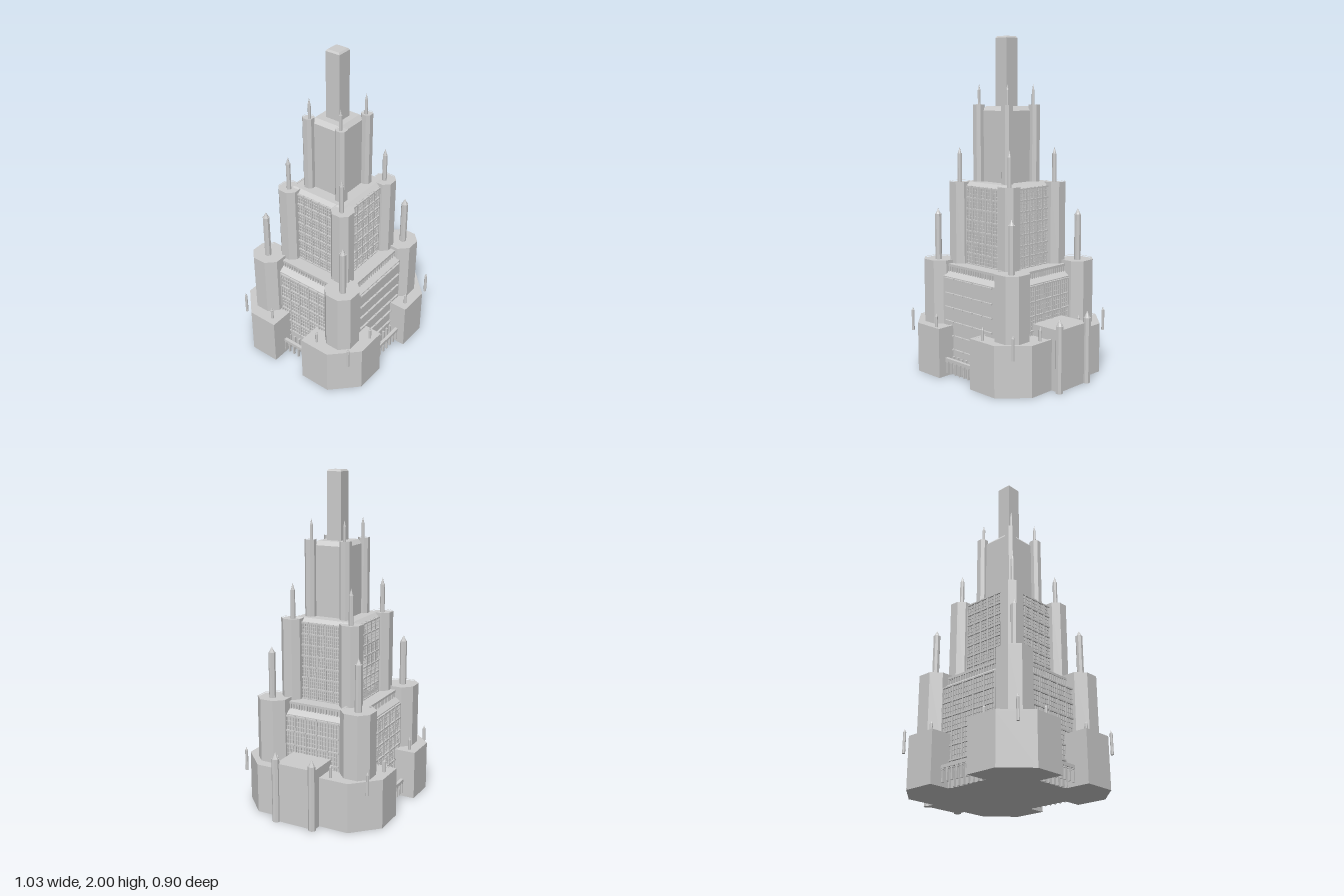
import * as THREE from 'three';

const mat = new THREE.MeshStandardMaterial({ color: 0xcccccc, flatShading: true });
const CX = -0.038, CZ = 0.01; // tower axis

function add(parent, name, geo, x = 0, y = 0, z = 0) {
  const m = new THREE.Mesh(geo, mat);
  m.name = name;
  m.position.set(x, y, z);
  parent.add(m);
  return m;
}
const box = (p, name, w, h, d, x, y, z) => add(p, name, new THREE.BoxGeometry(w, h, d), x, y, z);

// Plan rectangle with a chamfer per corner, in order: back-left, back-right, front-right, front-left
function plan(x0, x1, z0, z1, c, inset = 0) {
  const k = inset * (2 - Math.SQRT2);
  x0 += inset; x1 -= inset; z0 += inset; z1 -= inset;
  const [a, b, e, f] = c.map(v => (v ? Math.max(v - k, 0.002) : 0));
  const raw = [[x0, z0 + a], [x0 + a, z0], [x1 - b, z0], [x1, z0 + b],
    [x1, z1 - e], [x1 - e, z1], [x0 + f, z1], [x0, z1 - f]];
  const pts = raw.filter((p, i) => {
    const q = raw[(i + 1) % 8];
    return Math.hypot(p[0] - q[0], p[1] - q[1]) > 1e-5;
  });
  return pts.map(([x, z]) => new THREE.Vector2(x, -z));
}

function prism(pts, y0, y1, hole) {
  const shape = new THREE.Shape(pts);
  if (hole) shape.holes.push(new THREE.Path(hole));
  const g = new THREE.ExtrudeGeometry(shape, { depth: y1 - y0, bevelEnabled: false });
  g.rotateX(-Math.PI / 2);
  g.translate(0, y0, 0);
  return g;
}

// Solid block with a raised parapet around its top
function parapetBlock(parent, name, x0, x1, z0, z1, c, y0, y1, t) {
  const g = new THREE.Group();
  g.name = name;
  const outer = plan(x0, x1, z0, z1, c);
  add(g, name + 'Body', prism(outer, y0, y1 - 0.008));
  add(g, name + 'Parapet', prism(outer, y1 - 0.008, y1, plan(x0, x1, z0, z1, c, t)));
  parent.add(g);
}

// Octagonal shaft with a pointed tip
function spire(parent, name, x, z, r, y0, yShaft, yTip) {
  const g = new THREE.Group();
  g.name = name;
  const shaft = new THREE.CylinderGeometry(r, r, yShaft - y0, 8).rotateY(Math.PI / 8);
  const tip = new THREE.CylinderGeometry(0, r * 0.8, yTip - yShaft, 8).rotateY(Math.PI / 8);
  add(g, name + 'Shaft', shaft, x, (y0 + yShaft) / 2, z);
  add(g, name + 'Tip', tip, x, (yShaft + yTip) / 2, z);
  parent.add(g);
}

// Square block whose top edge slopes inward
function slopedRoof(parent, name, half, inset, y0, y1) {
  const s = Math.SQRT2;
  const geo = new THREE.CylinderGeometry((half - inset) * s, half * s, y1 - y0, 4).rotateY(Math.PI / 4);
  add(parent, name, geo, CX, (y0 + y1) / 2, CZ);
}

// Runs fn once per side with a group whose +z points out of that wall
function eachSide(parent, name, fn) {
  ['Front', 'Left', 'Back', 'Right'].forEach((side, i) => {
    const g = new THREE.Group();
    g.name = name + side;
    g.position.set(CX, 0, CZ);
    g.rotation.y = i * Math.PI / 2;
    fn(g, i);
    parent.add(g);
  });
}

// Ledges split into bays
function ledges(g, rows, width, dist, bays) {
  const w = width / bays;
  for (const y of rows)
    for (let i = 0; i < bays; i++)
      box(g, 'ledge', w - 0.006, 0.009, 0.014, -width / 2 + (i + 0.5) * w, y, dist + 0.005);
}

// Pilasters with finer mullions and glazing bars between floors
function lattice(g, rows, width, dist, bays) {
  const y0 = rows[0], y1 = rows[rows.length - 1];
  const n = bays * 4;
  for (let i = 0; i <= n; i++) {
    const main = i % 4 === 0;
    box(g, main ? 'pilaster' : 'mullion', main ? 0.008 : 0.0035, y1 - y0, main ? 0.012 : 0.006,
      -width / 2 + i * width / n, (y0 + y1) / 2, dist + 0.003);
  }
  for (let r = 0; r + 1 < rows.length; r++)
    for (const f of [0.33, 0.66])
      box(g, 'glazingBar', width, 0.003, 0.006, 0, rows[r] + f * (rows[r + 1] - rows[r]), dist + 0.003);
}

const range = (a, b, n) => Array.from({ length: n }, (_, i) => a + (b - a) * i / (n - 1));

export function createModel() {
  const model = new THREE.Group();
  model.name = 'steppedTower';

  // Ground storey: four bastions chamfered on the outer corner
  const base = new THREE.Group();
  base.name = 'base';
  model.add(base);
  const c = 0.148;
  parapetBlock(base, 'bastionBackLeft', -0.516, -0.172, -0.45, -0.115, [c, 0, 0, 0], 0, 0.3, 0.016);
  parapetBlock(base, 'bastionBackRight', 0.095, 0.432, -0.45, -0.118, [0, c, 0, 0], 0, 0.3, 0.016);
  parapetBlock(base, 'bastionFrontRight', 0.09, 0.434, 0.105, 0.446, [0, 0, c, 0], 0, 0.3, 0.016);
  parapetBlock(base, 'bastionFrontLeft', -0.514, -0.175, 0.102, 0.446, [0, 0, 0, c], 0, 0.3, 0.016);

  // Slim pinnacles around the bastions
  [[-0.465, -0.39], [-0.23, -0.39], [0.16, -0.4], [0.38, -0.4], [-0.465, -0.172], [0.38, -0.165],
    [-0.458, 0.176], [0.39, 0.184], [-0.456, 0.41], [-0.238, 0.41], [0.152, 0.404], [0.39, 0.404]]
    .forEach(([x, z]) => spire(base, 'pinnacle', x, z, 0.009, 0.23, 0.355, 0.375));

  // Side porch with two corner posts
  const porch = new THREE.Group();
  porch.name = 'porch';
  model.add(porch);
  box(porch, 'porchBlock', 0.25, 0.36, 0.253, 0.365, 0.18, 0.0085);
  for (const z of [-0.106, 0.135]) spire(porch, 'porchPost', 0.492, z, 0.023, 0, 0.39, 0.43);

  // Lower, middle and upper blocks
  const H1 = 0.323, H2 = 0.2, H3 = 0.11;
  const body = new THREE.Group();
  body.name = 'body';
  model.add(body);
  box(body, 'lowerBlock', 2 * H1, 0.59, 2 * H1, CX, 0.295, CZ);
  slopedRoof(body, 'lowerRoof', H1, 0.035, 0.59, 0.615);
  box(body, 'galleryCore', 0.55, 0.04, 0.55, CX, 0.63, CZ);
  box(body, 'galleryRoof', 0.585, 0.014, 0.585, CX, 0.652, CZ);
  box(body, 'middleBlock', 2 * H2, 0.48, 2 * H2, CX, 0.89, CZ);
  slopedRoof(body, 'middleRoof', H2, 0.022, 1.13, 1.15);
  box(body, 'upperBlock', 2 * H3, 0.43, 2 * H3, CX, 1.355, CZ);
  slopedRoof(body, 'upperRoof', H3, 0.022, 1.57, 1.595);

  // Crowning pillar with bevelled top
  box(body, 'crownPillar', 0.092, 0.41, 0.092, -0.039, 1.785, 0.014);
  add(body, 'crownCap', new THREE.CylinderGeometry(0.038 * Math.SQRT2, 0.046 * Math.SQRT2, 0.01, 4)
    .rotateY(Math.PI / 4), -0.039, 1.995, 0.014);

  // Lower facades: plain floors on the front, glazed lattice elsewhere
  const lowRows = [0.15, 0.235, 0.32, 0.405, 0.49, 0.58];
  eachSide(body, 'lowerFacade', (g, i) => {
    const w = i % 2 ? 0.365 : 0.4;
    ledges(g, lowRows, w, H1, 5);
    if (i) lattice(g, lowRows, w, H1, 5);
    for (const x of range(-w / 2, w / 2, 21)) box(g, 'galleryColumn', 0.007, 0.04, 0.01, x, 0.628, 0.286);
  });

  // Middle facades
  eachSide(body, 'middleFacade', g => {
    const rows = range(0.66, 1.125, 8);
    ledges(g, rows, 0.275, H2, 5);
    lattice(g, rows, 0.275, H2, 5);
  });

  // Ground-level colonnades between the bastions
  eachSide(body, 'colonnade', (g, i) => {
    if (i === 1) return; // the porch stands here
    const d = 0.38;
    box(g, 'colonnadeBeam', 0.27, 0.018, 0.02, 0, 0.105, d);
    for (const x of range(-0.125, 0.125, 8)) {
      box(g, 'colonnadePost', 0.009, 0.075, 0.014, x, 0.06, d);
      box(g, 'postBracket', 0.02, 0.01, 0.016, x, 0.092, d);
      box(g, 'wallPost', 0.01, 0.11, 0.016, x, 0.055, H1 + 0.006);
    }
  });

  // Octagonal corner towers with spires, one ring per stage
  const stages = [
    { name: 'lowerTower', xs: [-0.342, 0.26], zs: [-0.28, 0.277], h: 0.096, c: 0.053, y: [0.28, 0.68],
      sx: [-0.35, 0.268], sz: [-0.284, 0.289], r: 0.021, tip: [0.95, 0.985] },
    { name: 'middleTower', xs: [-0.241, 0.166], zs: [-0.184, 0.204], h: 0.063, c: 0.035, y: [0.6, 1.15],
      sx: [-0.248, 0.166], sz: [-0.183, 0.202], r: 0.014, tip: [1.315, 1.355] },
    { name: 'upperTower', xs: [-0.157, 0.077], zs: [-0.1, 0.13], h: 0.032, c: 0.017, y: [1.1, 1.605],
      sx: [-0.157, 0.076], sz: [-0.092, 0.125], r: 0.009, tip: [1.69, 1.725] },
  ];
  for (const s of stages) {
    const ring = new THREE.Group();
    ring.name = s.name + 's';
    model.add(ring);
    for (const i of [0, 1]) for (const j of [0, 1]) {
      const x = s.xs[i], z = s.zs[j];
      parapetBlock(ring, s.name, x - s.h, x + s.h, z - s.h, z + s.h, [s.c, s.c, s.c, s.c], s.y[0], s.y[1], s.h * 0.1);
      spire(ring, s.name + 'Spire', s.sx[i], s.sz[j], s.r, s.y[1] - 0.02, s.tip[0], s.tip[1]);
    }
  }
  return model;
}
